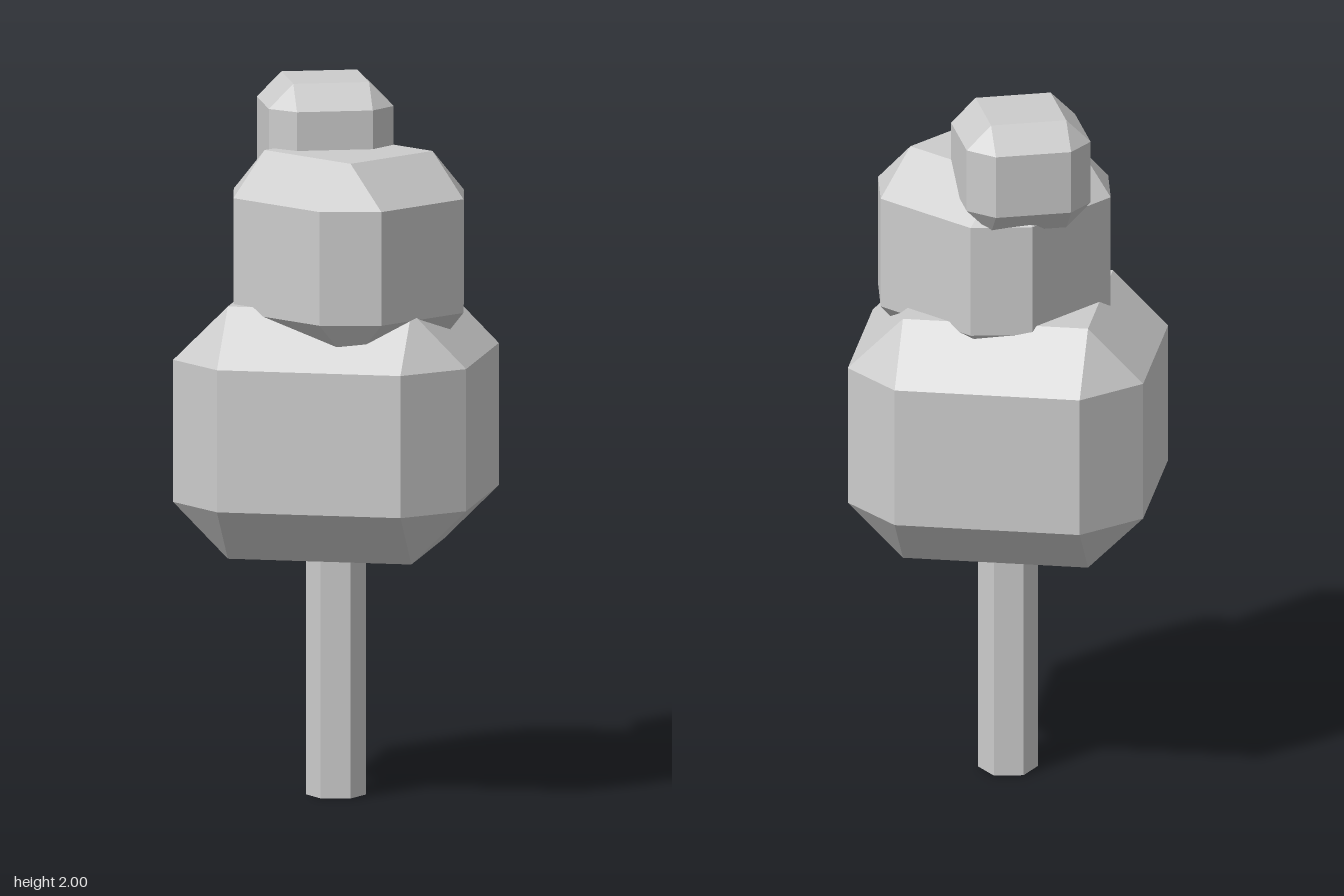
import * as THREE from 'three';
import { ConvexGeometry } from 'three/addons/geometries/ConvexGeometry.js';

// Box with flat bevels: core is the size between the bevels
function bevelledBox(width, height, depth, bevel) {
  const points = [];
  for (const sx of [-1, 1]) for (const sy of [-1, 1]) for (const sz of [-1, 1]) {
    const corner = new THREE.Vector3(sx * width / 2, sy * height / 2, sz * depth / 2);
    points.push(
      corner.clone().add(new THREE.Vector3(sx * bevel, 0, 0)),
      corner.clone().add(new THREE.Vector3(0, sy * bevel, 0)),
      corner.clone().add(new THREE.Vector3(0, 0, sz * bevel)),
    );
  }
  return new ConvexGeometry(points);
}

export function createModel() {
  const model = new THREE.Group();
  model.name = 'tree';
  const grey = new THREE.MeshStandardMaterial({ color: 0xcccccc, flatShading: true });
  grey.name = 'light grey';

  // Six-sided trunk, ending inside the lowest foliage block
  const trunk = new THREE.Mesh(new THREE.CylinderGeometry(0.083, 0.083, 0.8, 6), grey);
  trunk.name = 'trunk';
  trunk.position.y = 0.4;
  model.add(trunk);

  // Three stacked foliage blocks, each turned and shifted
  const blocks = [
    { name: 'lowerFoliage', core: [0.52, 0.4, 0.465], bevel: 0.155, at: [0, 1.047, 0], turn: 0.343 },
    { name: 'middleFoliage', core: [0.34, 0.32, 0.32], bevel: 0.122, at: [0.06, 1.54, 0.032], turn: -0.252 },
    { name: 'upperFoliage', core: [0.213, 0.18, 0.222], bevel: 0.069, at: [-0.09, 1.841, -0.092], turn: 0.69 },
  ];
  for (const { name, core, bevel, at, turn } of blocks) {
    const block = new THREE.Mesh(bevelledBox(...core, bevel), grey);
    block.name = name;
    block.position.set(...at);
    block.rotation.y = turn;
    model.add(block);
  }
  return model;
}
